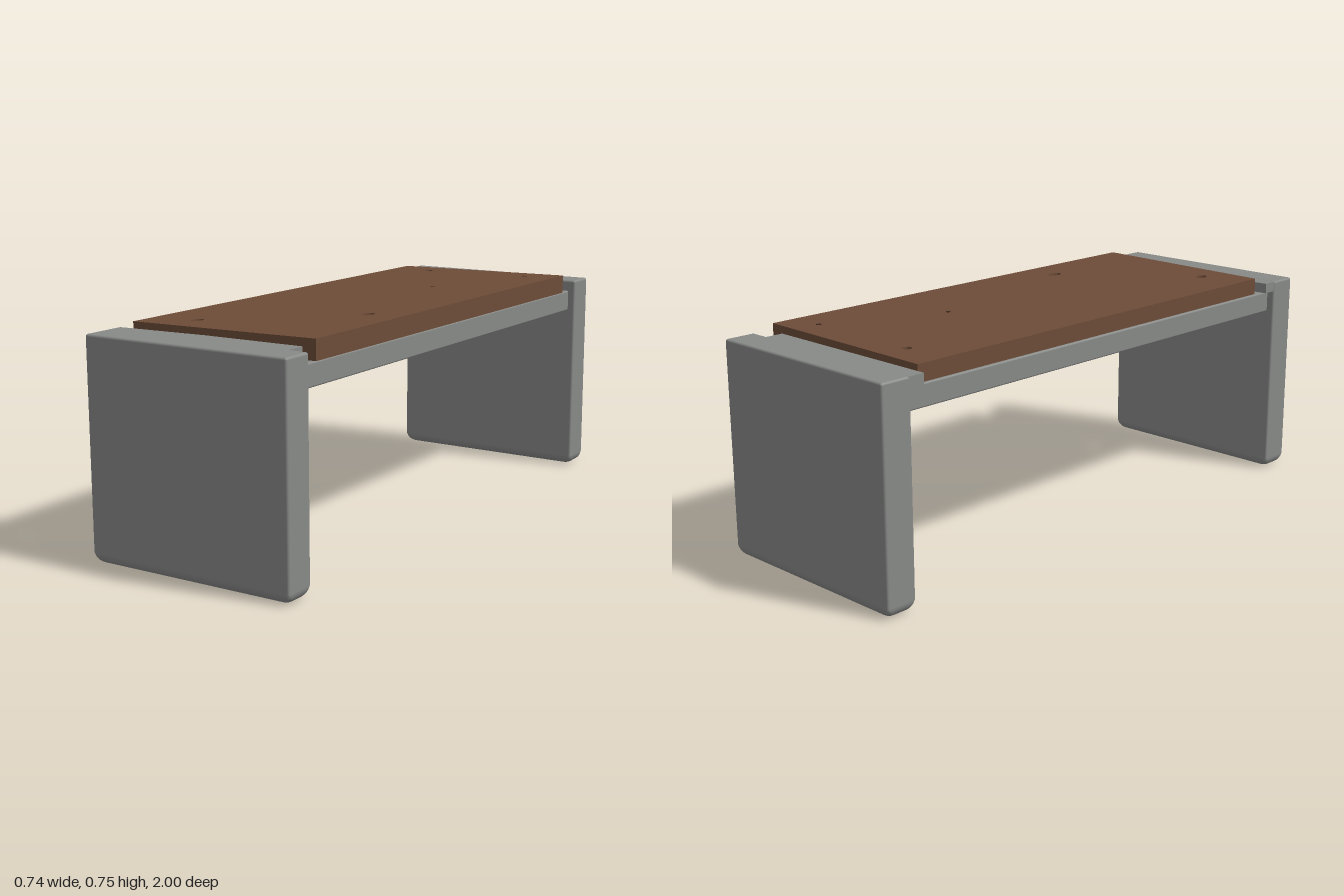
import * as THREE from 'three';
import { RoundedBoxGeometry } from 'three/addons/geometries/RoundedBoxGeometry.js';

const concrete = new THREE.MeshStandardMaterial({ color: 0x888a88 });
concrete.name = 'grey concrete';
const wood = new THREE.MeshStandardMaterial({ color: 0x6d4c38 });
wood.name = 'brown wood';
const pit = new THREE.MeshStandardMaterial({ color: 0x38261c });
pit.name = 'dark knot';

function add(parent, name, geometry, material, x = 0, y = 0, z = 0) {
  const mesh = new THREE.Mesh(geometry, material);
  mesh.name = name;
  mesh.position.set(x, y, z);
  parent.add(mesh);
  return mesh;
}

// Upright slab: crisp upper edges, generously rounded foot
function slabGeometry(w, h, d, sharp, soft) {
  const g = new RoundedBoxGeometry(w, h, d, 4, soft);
  const p = g.attributes.position, n = g.attributes.normal;
  for (let i = 0; i < p.count; i++) {
    const ny = n.getY(i);
    const r = THREE.MathUtils.lerp(sharp, soft, Math.max(0, -ny));
    const ry = p.getY(i) < 0 ? soft : sharp;
    const place = (half, radius, sign, normal) => sign * (half - radius) + normal * radius;
    p.setXYZ(i,
      place(w / 2, r, Math.sign(p.getX(i)), n.getX(i)),
      place(h / 2, ry, Math.sign(p.getY(i)), ny),
      place(d / 2, r, Math.sign(p.getZ(i)), n.getZ(i)));
  }
  return g;
}

// Horizontal plate from an outline of [x, z] points, lying between y0 and y1
function plateGeometry(points, holes, y0, y1) {
  const shape = new THREE.Shape(points.map(([x, z]) => new THREE.Vector2(x, -z)));
  for (const [x, z, rx, rz] of holes) {
    const hole = new THREE.Path();
    hole.absellipse(x, -z, rx, rz, 0, Math.PI * 2, true);
    shape.holes.push(hole);
  }
  const g = new THREE.ExtrudeGeometry(shape, { depth: y1 - y0, bevelEnabled: false, curveSegments: 10 });
  g.rotateX(-Math.PI / 2);
  g.translate(0, y0, 0);
  return g;
}

export function createModel() {
  const bench = new THREE.Group();
  bench.name = 'bench';

  // End slabs
  for (const [name, s] of [['frontSlab', 1], ['backSlab', -1]]) {
    add(bench, name, slabGeometry(0.74, 0.72, 0.11, 0.008, 0.036), concrete, 0, 0.36, s * 0.945);
  }

  // Thin lips on the slabs reaching in towards the seat, stopping short of the left rail
  add(bench, 'frontLip',
    plateGeometry([[-0.368, 0.9], [0.3, 0.9], [0.3, 0.822], [-0.05, 0.822], [-0.368, 0.843]], [], 0.684, 0.719),
    concrete);
  add(bench, 'backLip',
    plateGeometry([[-0.368, -0.838], [0.3, -0.832], [0.3, -0.9], [-0.368, -0.9]], [], 0.684, 0.719),
    concrete);

  // Rails between the slabs
  for (const [name, s] of [['leftRail', 1], ['rightRail', -1]]) {
    add(bench, name, new RoundedBoxGeometry(0.046, 0.075, 1.8, 2, 0.006), concrete, s * 0.32, 0.6425, 0);
  }

  // Seat board with knot holes; its top rises slightly towards the left
  const board = plateGeometry(
    [[-0.335, 0.82], [0.346, 0.82], [0.346, -0.832], [-0.335, -0.832]],
    [[-0.18, -0.735, 0.015, 0.017], [0.225, 0.35, 0.017, 0.029], [-0.175, 0.705, 0.017, 0.025]],
    0.68, 0.741);
  const p = board.attributes.position;
  const rise = (x) => 0.012 * x;
  for (let i = 0; i < p.count; i++) {
    if (p.getY(i) > 0.71) p.setY(i, p.getY(i) + rise(p.getX(i)));
  }
  board.computeVertexNormals();
  add(bench, 'seatBoard', board, wood);

  // Small closed knots
  for (const [x, z, r] of [[0.23, -0.74, 0.009], [0.07, -0.33, 0.008]]) {
    add(bench, 'knot', new THREE.CylinderGeometry(r, r, 0.002, 10), pit, x, 0.741 + rise(x), z);
  }

  return bench;
}
